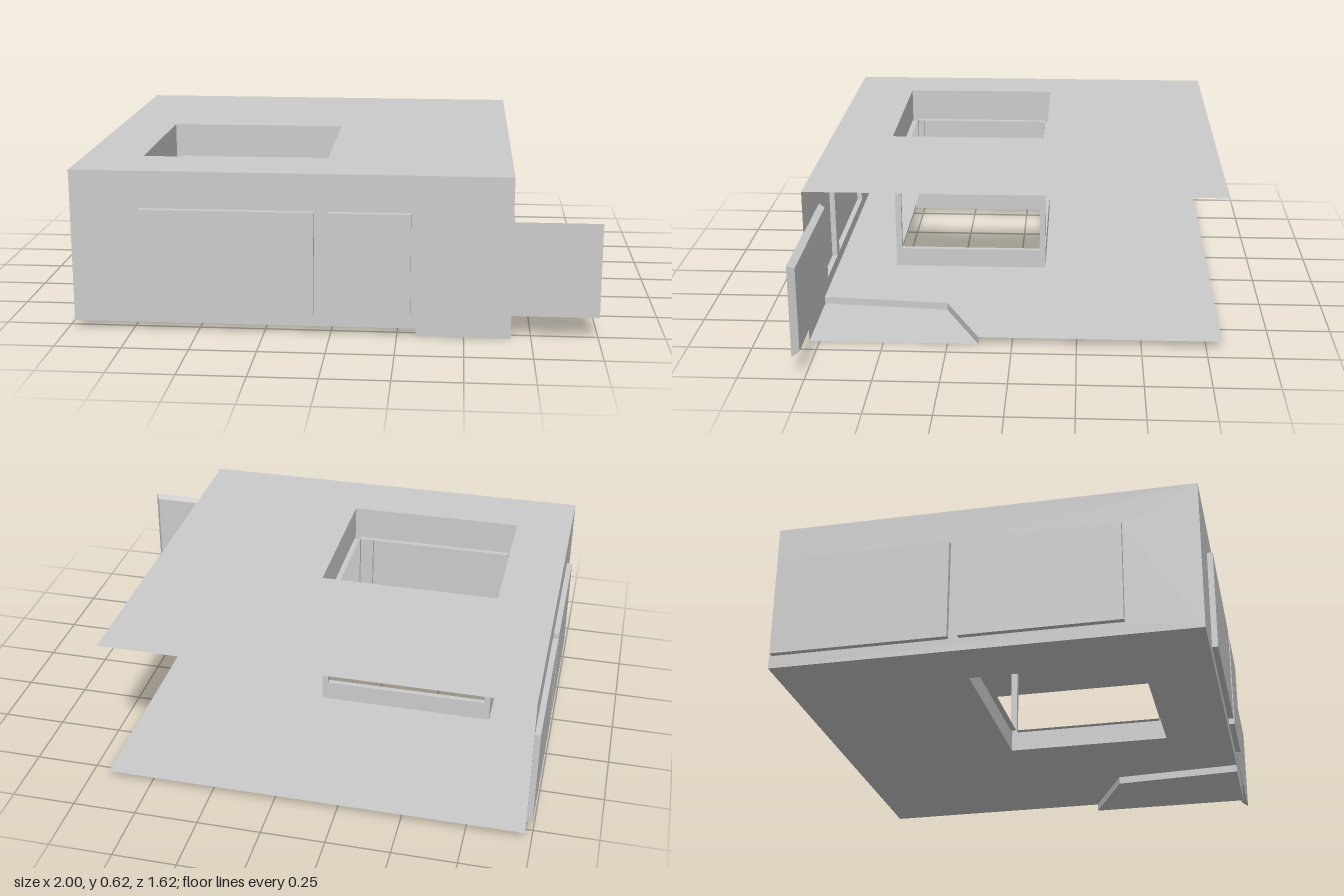
import * as THREE from 'three';

const material = new THREE.MeshStandardMaterial({ color: 0xcccccc, side: THREE.DoubleSide, flatShading: true });

const rect = (u0, u1, v0, v1) => [[u0, v0], [u1, v0], [u1, v1], [u0, v1]];
const toVectors = (pts) => pts.map(([u, v]) => new THREE.Vector2(u, v));

// Flat sheet with cut-outs, at depth w
function sheet(outline, holes = [], w = 0) {
  const shape = new THREE.Shape(toVectors(outline));
  shape.holes = holes.map((h) => new THREE.Path(toVectors(h)));
  return new THREE.ShapeGeometry(shape).translate(0, 0, w);
}

// Strip of side faces along an outline, from depth w0 to w1
function sleeve(pts, w0, w1, closed = true) {
  const pos = [];
  const count = closed ? pts.length : pts.length - 1;
  for (let i = 0; i < count; i++) {
    const a = pts[i], b = pts[(i + 1) % pts.length];
    pos.push(...a, w0, ...b, w0, ...b, w1, ...a, w0, ...b, w1, ...a, w1);
  }
  const g = new THREE.BufferGeometry();
  g.setAttribute('position', new THREE.Float32BufferAttribute(pos, 3));
  g.computeVertexNormals();
  return g;
}

function add(parent, name, geometry) {
  const mesh = new THREE.Mesh(geometry, material);
  mesh.name = name;
  parent.add(mesh);
  return mesh;
}

export function createModel() {
  const model = new THREE.Group();
  model.name = 'pavilion';

  const X0 = -0.975, X1 = 0.675, Z0 = -0.81, Z1 = 0.79, FLOOR = 0.03, ROOF = 0.617;
  const CX0 = -0.745, CX1 = -0.03, CZ0 = -0.11, CZ1 = 0.535;
  const court = rect(CX0, CX1, CZ0, CZ1);
  const lip = 0.022;

  const group = (name, x, z, turn) => {
    const g = new THREE.Group();
    g.name = name;
    g.position.set(x, 0, z);
    g.rotation.y = turn;
    model.add(g);
    return g;
  };

  // Roof with courtyard opening
  add(model, 'roof', sheet(rect(X0, X1, Z0, Z1), [court]).rotateX(Math.PI / 2).translate(0, ROOF, 0));

  // Floor with courtyard opening and a notch for the sunken entry
  const entryEdge = [[0.32, Z1], [0.36, 0.28], [X1, 0.13]];
  const floorOutline = [[X0, Z0], [X1, Z0], ...[...entryEdge].reverse(), [X0, Z1]];
  add(model, 'floor', sheet(floorOutline, [court]).rotateX(Math.PI / 2).translate(0, FLOOR, 0));
  add(model, 'entryFloor', sheet([...entryEdge, [X1, Z1]]).rotateX(Math.PI / 2));
  add(model, 'entryRiser', sleeve(entryEdge, -FLOOR, 0, false).rotateX(Math.PI / 2));

  // Outer walls, each with windows pushed outward as shallow bays
  const outerWall = (name, g, outline, bays) => {
    add(g, name, sheet(outline, bays));
    for (const bay of bays) {
      add(g, 'windowSurround', sleeve(bay, 0, lip));
      add(g, 'windowPane', sheet(bay, [], lip));
    }
  };
  outerWall('frontWall', group('frontSide', 0, Z1, 0),
    [[X0, FLOOR], [0.32, FLOOR], [0.32, 0], [X1, 0], [X1, ROOF], [X0, ROOF]],
    [rect(-0.715, -0.06, 0.08, 0.475), rect(-0.005, 0.3, 0.08, 0.475)]);
  outerWall('rightWall', group('rightSide', X0, 0, -Math.PI / 2),
    rect(Z0, Z1, FLOOR, ROOF),
    [rect(-0.8, -0.13, 0.08, 0.475), rect(-0.09, 0.51, 0.08, 0.475)]);

  // Courtyard walls with unglazed openings and lips facing the courtyard
  const courtWall = (name, g, u0, u1, inward) => {
    const opening = rect(u0 + 0.025, u1 - 0.025, 0.11, 0.478);
    add(g, name, sheet(rect(u0, u1, FLOOR, ROOF), [opening]));
    add(g, 'openingSurround', sleeve(opening, 0, lip * inward));
  };
  courtWall('courtBackWall', group('courtBack', 0, CZ0, 0), CX0, CX1, 1);
  courtWall('courtFrontWall', group('courtFront', 0, CZ1, 0), CX0, CX1, -1);
  courtWall('courtRightWall', group('courtRight', CX0, 0, -Math.PI / 2), CZ0, CZ1, -1);
  courtWall('courtLeftWall', group('courtLeft', CX1, 0, -Math.PI / 2), CZ0, CZ1, 1);

  // Sliding panel with bevelled edges toward the inside
  const panel = new THREE.BoxGeometry(0.66, 0.36, 0.027);
  const p = panel.attributes.position;
  for (let i = 0; i < p.count; i++) {
    if (p.getZ(i) < 0) p.setXY(i, p.getX(i) - Math.sign(p.getX(i)) * 0.018, p.getY(i) - Math.sign(p.getY(i)) * 0.014);
  }
  panel.computeVertexNormals();
  add(model, 'slidingPanel', panel).position.set(0.67, 0.27, 0.7785);

  return model;
}
